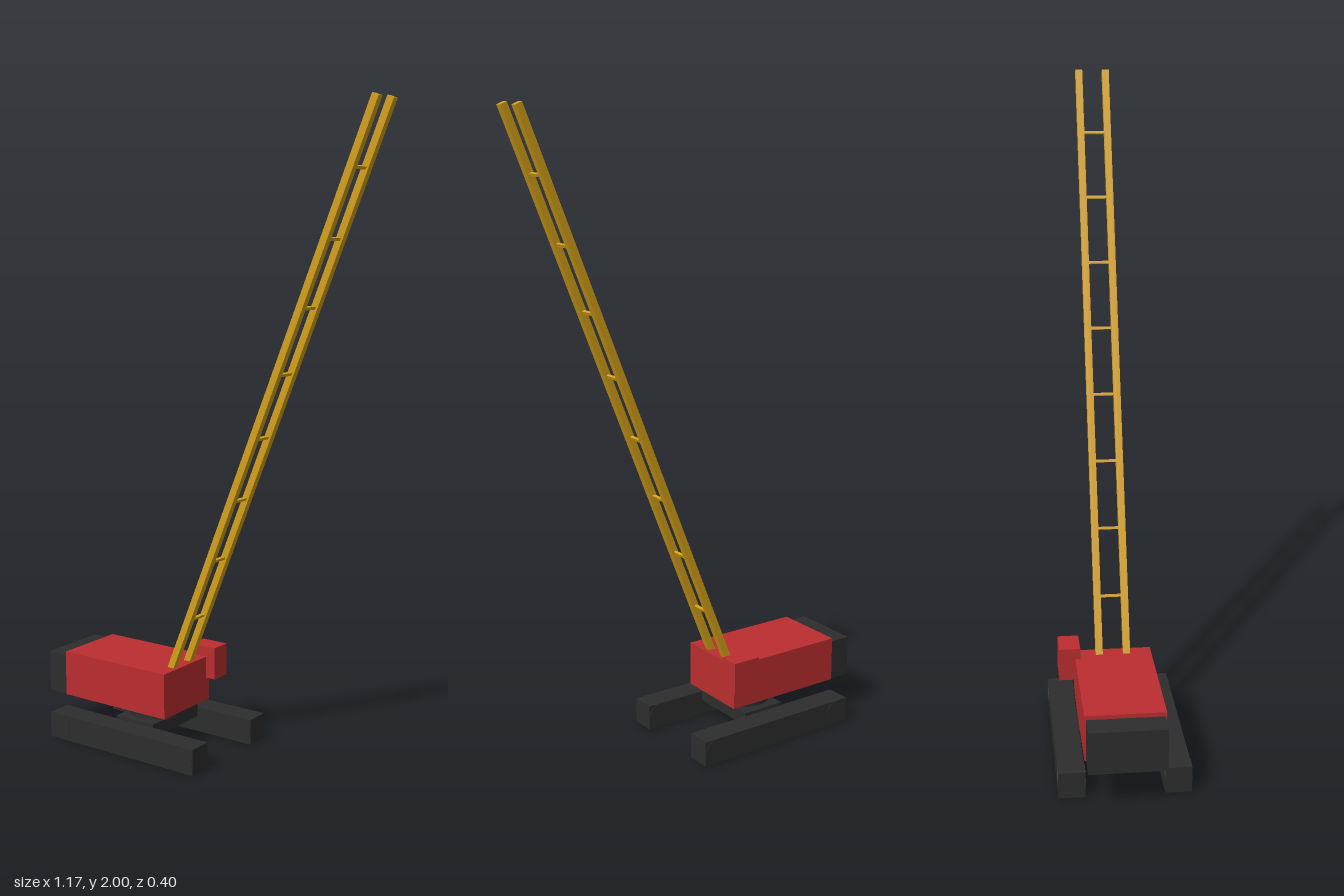
import * as THREE from 'three';

const mat = (name, color) => {
  const m = new THREE.MeshStandardMaterial({ color });
  m.name = name;
  return m;
};

export function createModel() {
  const red = mat('red paint', 0xbb2d2f);
  const dark = mat('dark steel', 0x2d2d2d);
  const yellow = mat('boom yellow', 0xd4a017);
  const model = new THREE.Group();
  model.name = 'crawlerCrane';

  const add = (name, geometry, material, x, y, z, parent = model) => {
    const mesh = new THREE.Mesh(geometry, material);
    mesh.name = name;
    mesh.position.set(x, y, z);
    parent.add(mesh);
    return mesh;
  };
  // Box given by its lower and upper limits on each axis
  const block = (name, material, [x0, x1], [y0, y1], [z0, z1]) =>
    add(name, new THREE.BoxGeometry(x1 - x0, y1 - y0, z1 - z0), material,
      (x0 + x1) / 2, (y0 + y1) / 2, (z0 + z1) / 2);

  // Crawler tracks with end drums
  for (const side of [-1, 1]) {
    const z = side * 0.157;
    add('track', new THREE.BoxGeometry(0.572, 0.082, 0.079), dark, -0.225, 0.041, z);
    for (const x of [-0.47, 0.02]) {
      add('trackDrum', new THREE.CylinderGeometry(0.041, 0.041, 0.082, 20).rotateX(Math.PI / 2),
        dark, x, 0.041, z);
    }
  }

  // Undercarriage and slewing ring
  block('carBody', dark, [-0.297, -0.15], [0.05, 0.093], [-0.12, 0.12]);
  add('slewRing', new THREE.CylinderGeometry(0.095, 0.095, 0.03, 32), dark, -0.224, 0.106, 0);

  // Upper works
  block('housing', red, [-0.511, -0.104], [0.12, 0.266], [-0.12, 0.12]);
  block('counterweight', dark, [-0.585, -0.511], [0.12, 0.253], [-0.115, 0.115]);
  block('cab', red, [-0.163, -0.07], [0.195, 0.3], [-0.17, -0.104]);

  // Boom: two chords joined by rungs, built upright and then leaned forward
  const boom = new THREE.Group();
  boom.name = 'boom';
  boom.position.set(-0.133, 0.256, 0);
  const lean = Math.atan2(0.703, 1.74);
  boom.rotation.z = -lean;
  model.add(boom);
  const length = Math.hypot(0.703, 1.74);
  for (const side of [-1, 1]) {
    add('boomChord', new THREE.BoxGeometry(0.022, length, 0.022), yellow, 0, length / 2, side * 0.043, boom);
  }
  for (let i = 0; i < 8; i++) {
    const y = (0.174 + 0.1966 * i) / Math.cos(lean);
    add('boomRung', new THREE.BoxGeometry(0.009, 0.009, 0.07), yellow, 0, y, 0, boom);
  }
  return model;
}
